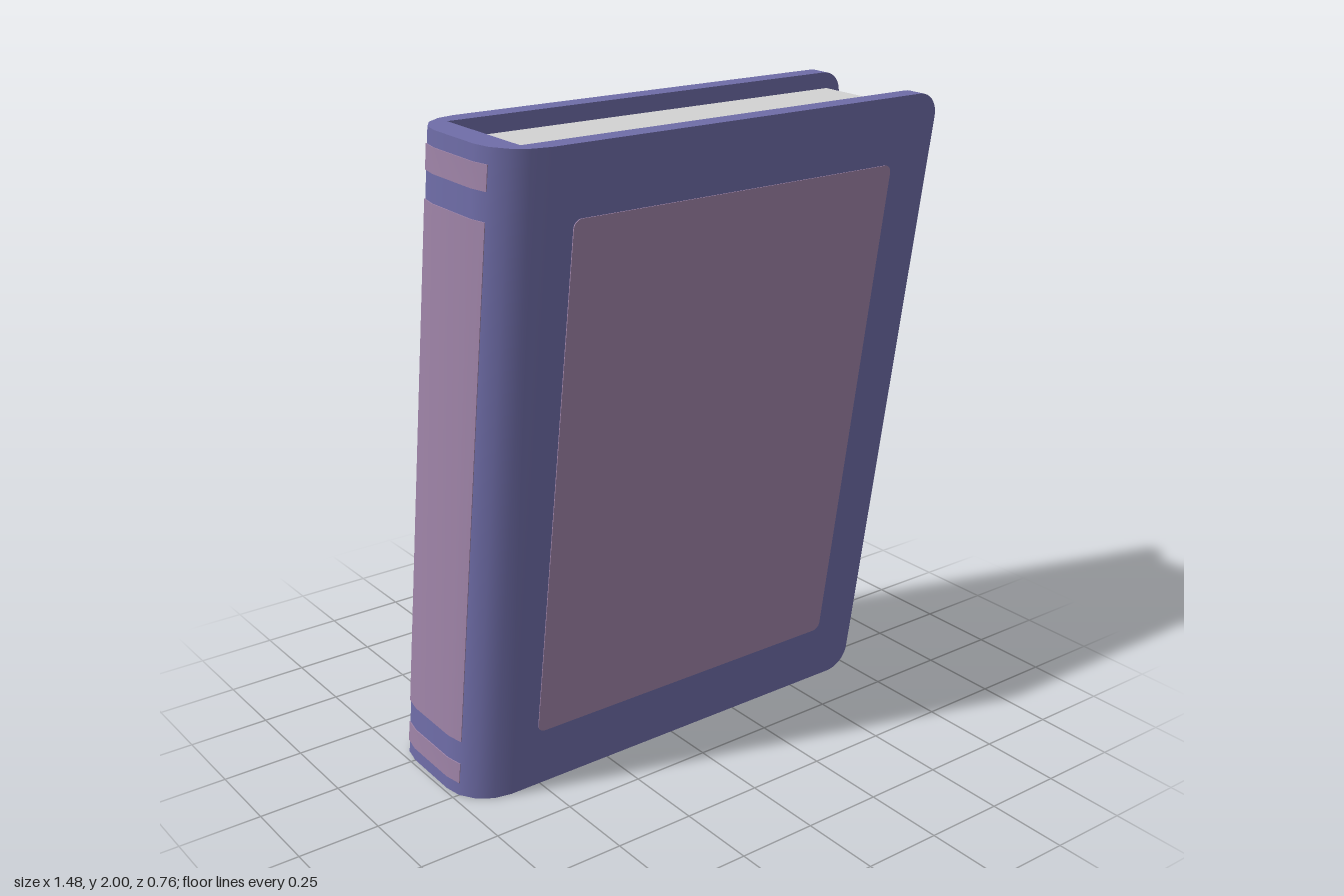
import * as THREE from 'three';
import { toCreasedNormals } from 'three/addons/utils/BufferGeometryUtils.js';

const material = (name, color) => Object.assign(new THREE.MeshStandardMaterial({ color }), { name });

const HALF = 0.235;   // half of the book's thickness
const INNER = 0.175;  // inner face of the boards
const BOTTOM = 0.005, TOP = 1.995;

// Forward lean: the book is sheared, with its ends almost level
const lean = new THREE.Matrix4().set(
  1, 0, 0, 0,
  0, 1, -0.02, 0,
  0, 0.147, 1, -0.147,
  0, 0, 0, 1
);

// Rectangle with chosen radii for its left and right corners
function panelShape(x0, x1, y0, y1, rLeft, rRight) {
  const s = new THREE.Shape();
  s.moveTo(x0 + rLeft, y0);
  s.lineTo(x1 - rRight, y0);
  s.absarc(x1 - rRight, y0 + rRight, rRight, -Math.PI / 2, 0);
  s.lineTo(x1, y1 - rRight);
  s.absarc(x1 - rRight, y1 - rRight, rRight, 0, Math.PI / 2);
  s.lineTo(x0 + rLeft, y1);
  if (rLeft) s.absarc(x0 + rLeft, y1 - rLeft, rLeft, Math.PI / 2, Math.PI);
  s.lineTo(x0, y0 + rLeft);
  if (rLeft) s.absarc(x0 + rLeft, y0 + rLeft, rLeft, Math.PI, Math.PI * 1.5);
  return s;
}

// Slab with a front-facing outline, between two depths
function slab(shape, z0, z1) {
  return new THREE.ExtrudeGeometry(shape, { depth: z1 - z0, bevelEnabled: false, curveSegments: 6 })
    .translate(0, 0, z0);
}

// Upright column with an outline seen from above
function column(points, y0, y1) {
  return new THREE.ExtrudeGeometry(new THREE.Shape(points), { depth: y1 - y0, bevelEnabled: false })
    .rotateX(-Math.PI / 2).translate(0, y0, 0);
}

// Rounded back of the spine, from angle a0 out to the flat and round again
function spineCurve(steps, radius) {
  const pts = [];
  for (let i = steps; i >= 0; i--) {
    const a = i * Math.PI / 8;
    pts.push(new THREE.Vector2(-0.6 - radius * Math.cos(a), 0.095 + radius * Math.sin(a)));
  }
  return pts.concat(pts.map(p => new THREE.Vector2(p.x, -p.y)).reverse());
}

export function createModel() {
  const cover = material('coverPurple', 0x6f6da8);
  const inlay = material('inlayMauve', 0x9f84a8);
  const paper = material('paperGrey', 0xd2d2d2);

  const book = new THREE.Group();
  book.name = 'book';
  const add = (name, geometry, mat) => {
    const mesh = new THREE.Mesh(toCreasedNormals(geometry, 0.6).applyMatrix4(lean), mat);
    mesh.name = name;
    book.add(mesh);
  };

  // Boards with their inlaid panels
  const board = panelShape(-0.6, 0.74, BOTTOM, TOP, 0, 0.075);
  const panel = panelShape(-0.52, 0.59, 0.2, 1.795, 0.025, 0.025);
  add('frontBoard', slab(board, INNER, HALF), cover);
  add('backBoard', slab(board, -HALF, -INNER), cover);
  add('frontPanel', slab(panel, HALF - 0.003, HALF + 0.003), inlay);
  add('backPanel', slab(panel, -HALF - 0.003, -HALF + 0.003), inlay);

  // Hollow rounded spine
  const spine = spineCurve(4, 0.14).concat(
    [[-0.6, -INNER], [-0.655, -INNER], [-0.655, INNER], [-0.6, INNER]].map(p => new THREE.Vector2(...p))
  );
  add('spine', column(spine, BOTTOM, TOP), cover);

  // Spine inlays: a long panel between two short bands
  const strip = spineCurve(1, 0.143).concat(spineCurve(1, 0.137).reverse());
  [['spineLowerBand', 0.05, 0.12], ['spinePanel', 0.2, 1.8], ['spineUpperBand', 1.88, 1.95]]
    .forEach(([name, y0, y1]) => add(name, column(strip, y0, y1), inlay));

  // Page block
  add('pages', new THREE.BoxGeometry(1.34, 1.885, INNER * 2).translate(0.015, 1.0025, 0), paper);

  return book;
}
